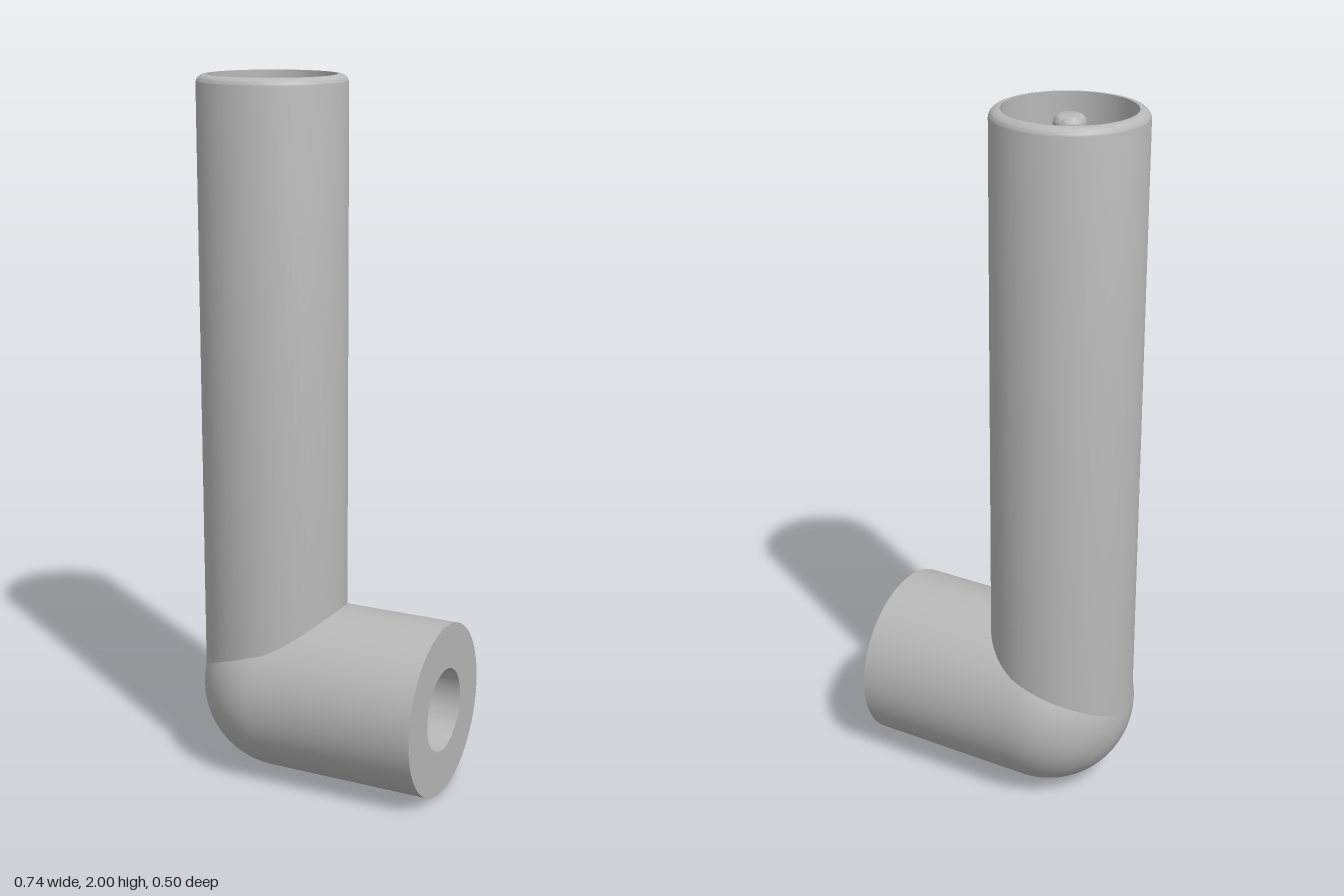
import * as THREE from 'three';
import { toCreasedNormals } from 'three/addons/utils/BufferGeometryUtils.js';

// Points of a circular arc in a lathe profile
function arc(cx, cy, r, from, to, steps) {
  const pts = [];
  for (let i = 0; i <= steps; i++) {
    const a = from + (to - from) * i / steps;
    pts.push([Math.max(0, cx + r * Math.cos(a)), cy + r * Math.sin(a)]);
  }
  return pts;
}

function lathe(name, profile, material) {
  const points = profile.map(([x, y]) => new THREE.Vector2(x, y));
  const geometry = toCreasedNormals(new THREE.LatheGeometry(points, 72), 0.6);
  const mesh = new THREE.Mesh(geometry, material);
  mesh.name = name;
  return mesh;
}

export function createModel() {
  const model = new THREE.Group();
  model.name = 'elbowConnector';
  const grey = new THREE.MeshStandardMaterial({ color: 0xb8b8b8 });
  grey.name = 'plain grey';
  const H = Math.PI / 2;

  // Upright tube with a rounded rim and a recessed floor
  const tube = lathe('uprightTube', [
    [0, 0.25], [0.207, 0.25],
    ...arc(0.182, 1.975, 0.025, 0, H, 8),
    [0.177, 2], [0.177, 1.6], [0, 1.6],
  ], grey);
  tube.position.x = -0.163;

  // Pin standing in the recess
  const pin = lathe('centrePin', [
    [0.043, 1.6],
    ...arc(0.023, 1.965, 0.02, 0, H, 6),
    [0, 1.985],
  ], grey);
  pin.position.x = -0.163;

  // Horizontal socket: domed closed end, flat open end with a blind bore
  const socket = lathe('domedSocket', [
    ...arc(0, 0, 0.25, -H, 0, 24),
    [0.25, 0.49], [0.12, 0.49], [0.12, 0.09], [0, 0.09],
  ], grey);
  socket.rotation.z = -H;
  socket.position.set(-0.12, 0.25, 0);

  model.add(tube, pin, socket);
  return model;
}
